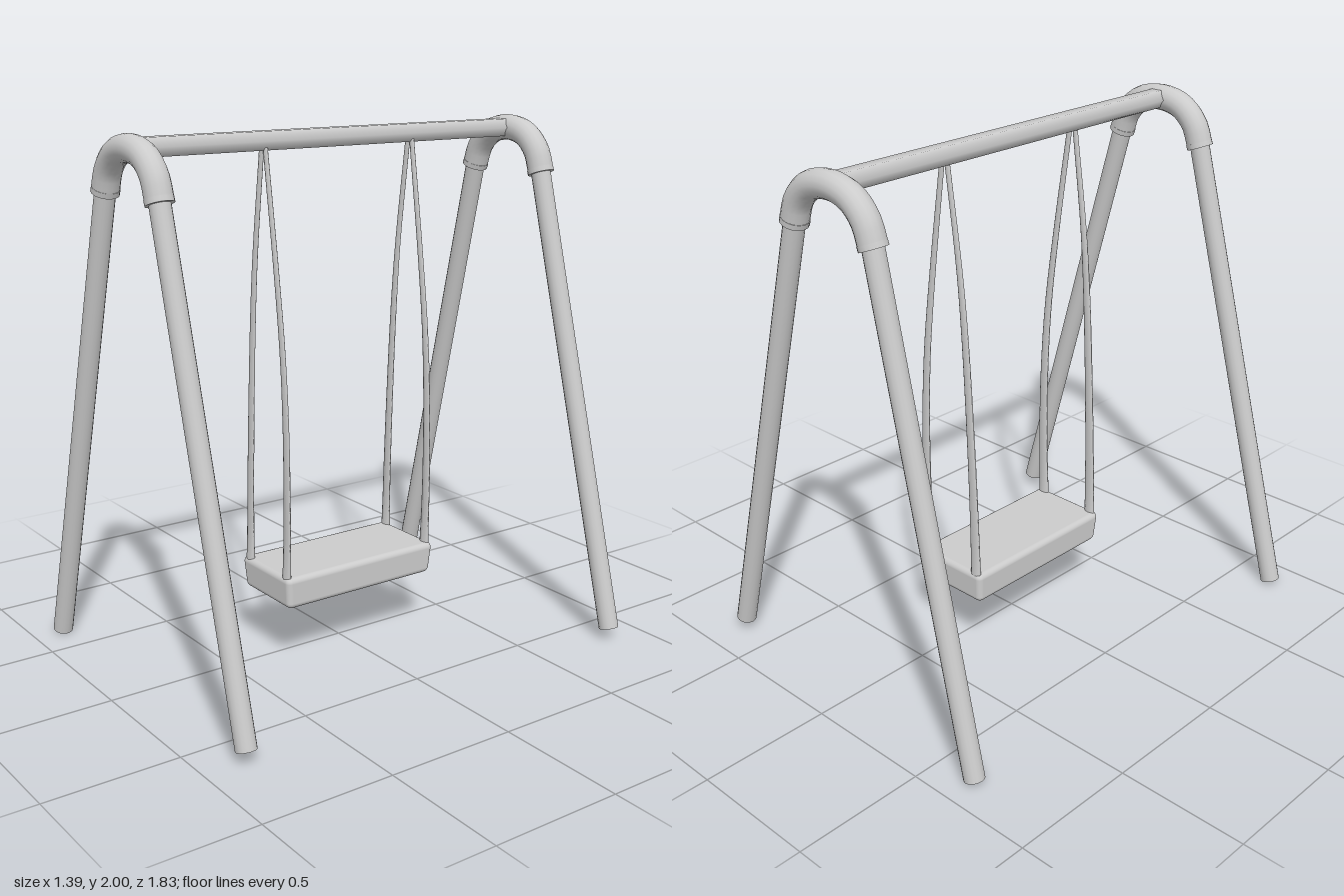
import * as THREE from 'three';
import { RoundedBoxGeometry } from 'three/addons/geometries/RoundedBoxGeometry.js';

const V = (x, y, z) => new THREE.Vector3(x, y, z);
const material = new THREE.MeshStandardMaterial({ color: 0xcccccc });

function addMesh(parent, name, geometry) {
  const mesh = new THREE.Mesh(geometry, material);
  mesh.name = name;
  parent.add(mesh);
  return mesh;
}

// Round bar between two points
function addBar(parent, name, a, b, radius, sides = 16) {
  const dir = b.clone().sub(a);
  const bar = addMesh(parent, name, new THREE.CylinderGeometry(radius, radius, dir.length(), sides));
  bar.position.copy(a).add(b).multiplyScalar(0.5);
  bar.quaternion.setFromUnitVectors(V(0, 1, 0), dir.normalize());
  return bar;
}

// Flat strap that bows outward, narrows toward the top and flares at the seat
function strapGeometry(points) {
  const curve = new THREE.CatmullRomCurve3(points.map(([x, y]) => V(x, y, 0)));
  const geometry = new THREE.CylinderGeometry(1, 1, 1, 10, 24);
  const pos = geometry.attributes.position;
  for (let i = 0; i < pos.count; i++) {
    const t = pos.getY(i) + 0.5;
    const c = curve.getPoint(t);
    const halfWidth = 0.024 - 0.013 * t;
    const halfDepth = 0.008 + 0.006 * Math.max(0, 1 - t * 10);
    pos.setXYZ(i, c.x + pos.getX(i) * halfWidth, c.y, pos.getZ(i) * halfDepth);
  }
  geometry.computeVertexNormals();
  return geometry;
}

export function createModel() {
  const swing = new THREE.Group();
  swing.name = 'swing';

  // A-frames at both ends, one leg of each splayed outward
  const elbowPath = new THREE.CatmullRomCurve3([
    [-0.21, 1.785], [-0.178, 1.868], [-0.12, 1.925], [-0.05, 1.948],
    [0.025, 1.948], [0.095, 1.925], [0.152, 1.868], [0.182, 1.785],
  ].map(([x, y]) => V(x, y, 0)));
  for (const side of [1, -1]) {
    const frame = new THREE.Group();
    frame.name = side > 0 ? 'frontFrame' : 'backFrame';
    frame.position.z = side * 0.84;
    swing.add(frame);

    addBar(frame, 'rightLeg', V(-0.662, 0.01, side * 0.038), V(-0.2, 1.82, 0), 0.038);
    addBar(frame, 'leftLeg', V(0.655, 0.045, 0), V(0.172, 1.82, 0), 0.038);
    addMesh(frame, 'elbow', new THREE.TubeGeometry(elbowPath, 20, 0.05, 16));
    // Collars closing the open ends of the elbow
    for (const t of [0, 1]) {
      const end = elbowPath.getPoint(t);
      const inward = elbowPath.getTangent(t).multiplyScalar(t ? -0.02 : 0.02);
      addBar(frame, 'collar', end, end.clone().add(inward), 0.051);
    }
  }

  // Six-sided top bar with flat top and bottom
  const barGeometry = new THREE.CylinderGeometry(0.046, 0.046, 1.68, 6);
  barGeometry.rotateY(Math.PI / 6).rotateX(Math.PI / 2);
  barGeometry.scale(1, 0.84, 1);
  barGeometry.computeBoundingBox();
  const topBar = addMesh(swing, 'topBar', barGeometry);
  topBar.position.set(-0.013, 1.952, 0);

  // Seat, drawn in a little toward the bottom
  const seatGeometry = new RoundedBoxGeometry(0.324, 0.125, 0.692, 4, 0.022);
  const pos = seatGeometry.attributes.position;
  for (let i = 0; i < pos.count; i++) {
    const k = 0.94 + 0.06 * (pos.getY(i) / 0.125 + 0.5);
    pos.setX(i, pos.getX(i) * k);
    pos.setZ(i, pos.getZ(i) * (0.5 + 0.5 * k));
  }
  const seat = addMesh(swing, 'seat', seatGeometry);
  seat.position.set(-0.005, 0.293, -0.005);

  // Two straps at each end of the seat
  const straps = {
    rightStrap: [[-0.132, 0.335], [-0.125, 0.6], [-0.112, 0.92], [-0.09, 1.3], [-0.067, 1.55], [-0.015, 1.93]],
    leftStrap: [[0.119, 0.335], [0.126, 0.6], [0.123, 0.92], [0.106, 1.2], [0.07, 1.5], [0.008, 1.93]],
  };
  for (const [name, points] of Object.entries(straps)) {
    const geometry = strapGeometry(points);
    for (const z of [0.322, -0.333]) addMesh(swing, name, geometry).position.z = z;
  }

  return swing;
}
